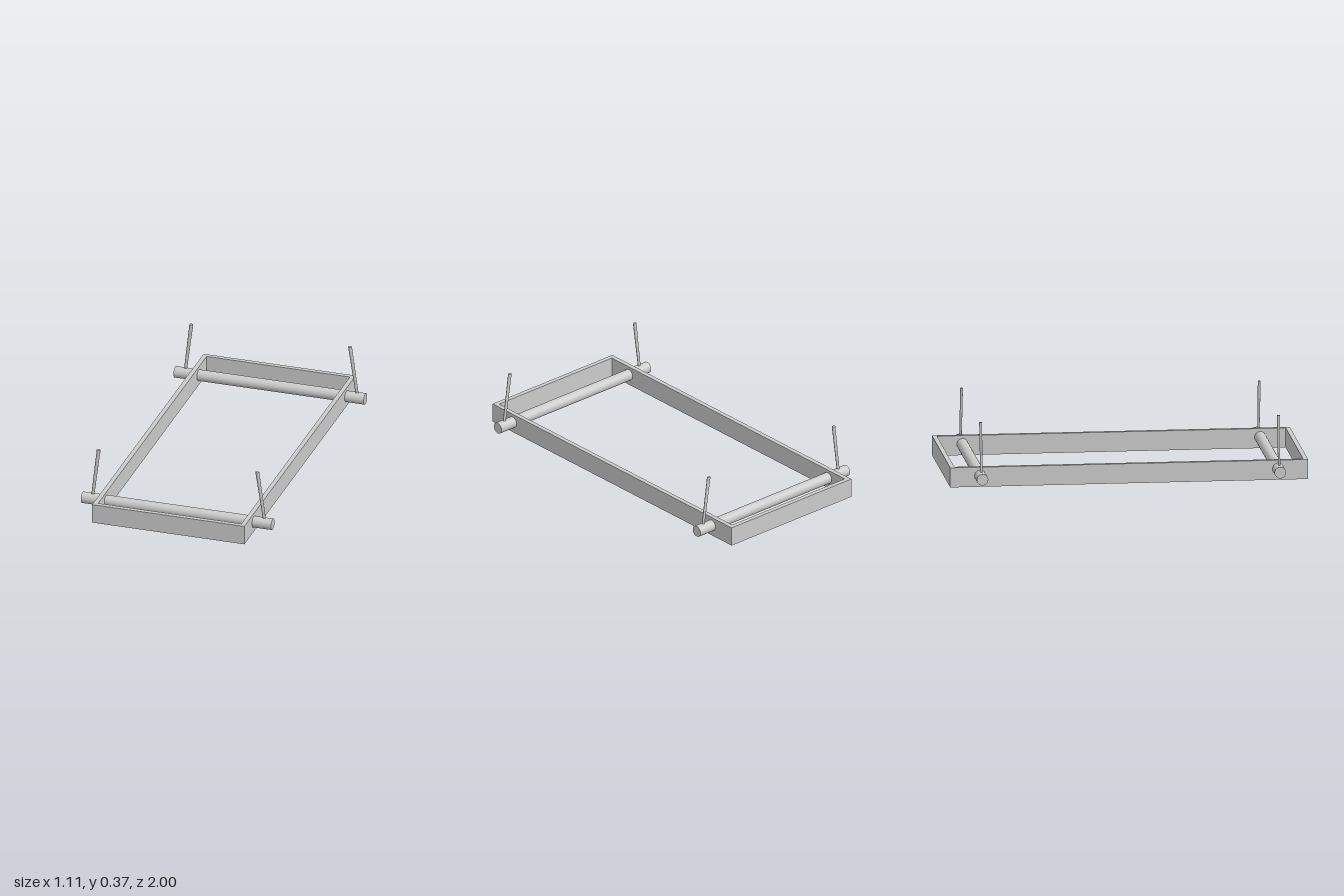
import * as THREE from 'three';

const material = new THREE.MeshStandardMaterial({ color: 0xcccccc });

function addMesh(parent, geometry, name) {
  const mesh = new THREE.Mesh(geometry, material);
  mesh.name = name;
  parent.add(mesh);
  return mesh;
}

// Clockwise or counter-clockwise rectangle path centred on the origin
function rectangle(path, halfX, halfZ) {
  path.moveTo(-halfX, -halfZ);
  path.lineTo(halfX, -halfZ);
  path.lineTo(halfX, halfZ);
  path.lineTo(-halfX, halfZ);
  path.closePath();
  return path;
}

// Slim oval rod, leaning in x but with level ends
function leaningRod(bottomX, topX, bottomY, topY) {
  const height = topY - bottomY;
  const geometry = new THREE.CylinderGeometry(0.011, 0.0085, height, 20);
  geometry.scale(1, 1, 0.75);
  const slope = (topX - bottomX) / height;
  const shear = new THREE.Matrix4().set(
    1, slope, 0, (bottomX + topX) / 2,
    0, 1, 0, (bottomY + topY) / 2,
    0, 0, 1, 0,
    0, 0, 0, 1
  );
  return geometry.applyMatrix4(shear);
}

export function createModel() {
  const model = new THREE.Group();
  model.name = 'carryingFrame';

  // Open rectangular frame
  const outline = rectangle(new THREE.Shape(), 0.444, 1);
  outline.holes.push(rectangle(new THREE.Path(), 0.418, 0.974));
  const frame = new THREE.ExtrudeGeometry(outline, { depth: 0.111, bevelEnabled: false });
  frame.rotateX(-Math.PI / 2);
  addMesh(model, frame, 'frame');

  // Cross bars with a pair of inward-leaning rods at their ends
  for (const [name, z] of [['front', 0.832], ['back', -0.832]]) {
    const assembly = new THREE.Group();
    assembly.name = name + 'BarAssembly';
    assembly.position.z = z;
    model.add(assembly);

    const bar = new THREE.CylinderGeometry(0.032, 0.032, 1.11, 40);
    bar.rotateZ(Math.PI / 2);
    addMesh(assembly, bar, name + 'CrossBar').position.y = 0.062;

    addMesh(assembly, leaningRod(0.509, 0.465, 0.07, 0.371), name + 'LeftRod');
    addMesh(assembly, leaningRod(-0.497, -0.461, 0.07, 0.369), name + 'RightRod');
  }

  return model;
}
